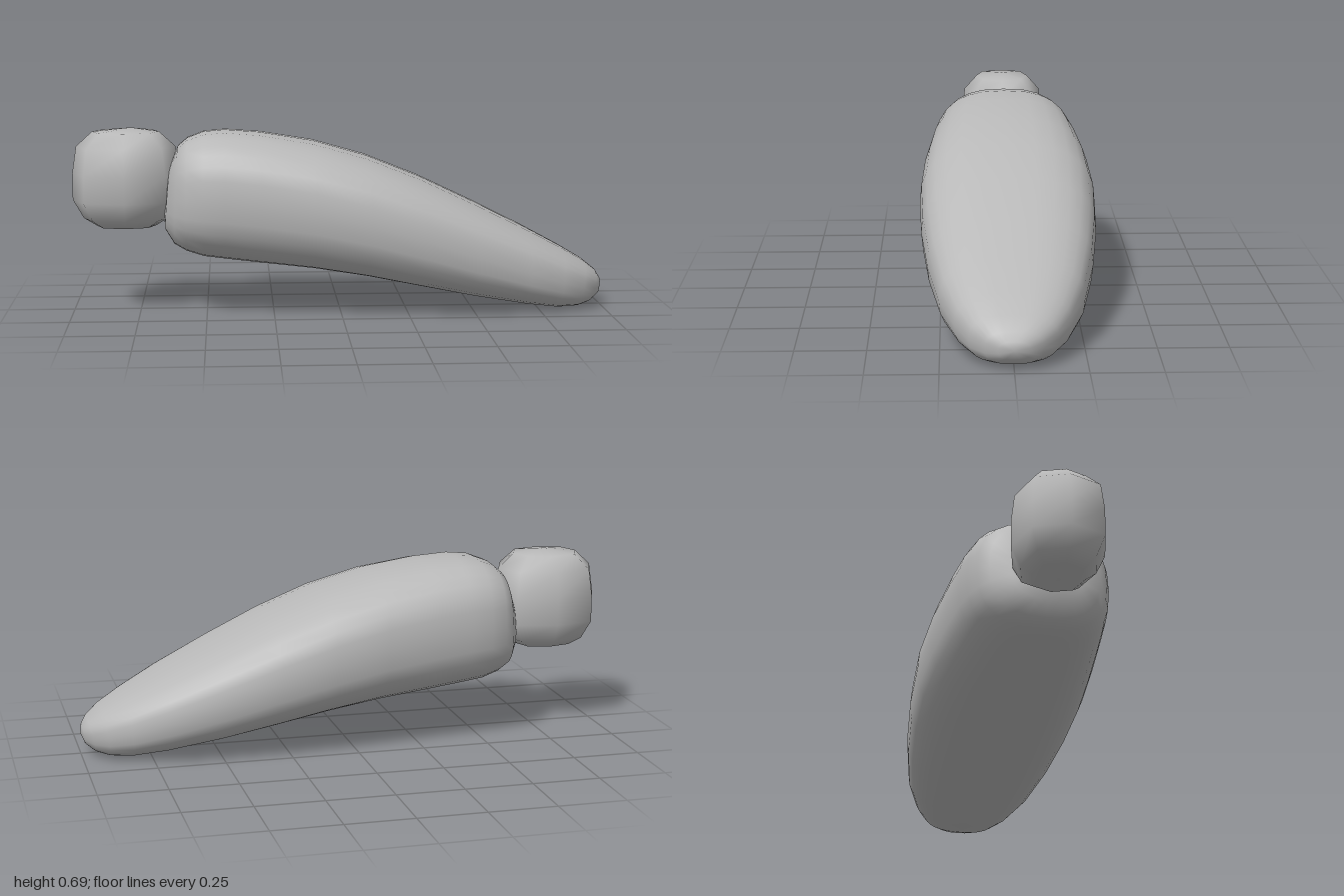
import * as THREE from 'three';

const TAU = Math.PI * 2;

// Smooth closed skin over rings of points, with a pole at each end
function loft(rings, startPole, endPole) {
  const n = rings[0].length;
  const points = [...rings.flat(), startPole, endPole];
  const start = points.length - 2, end = points.length - 1;
  const last = (rings.length - 1) * n;
  const index = [];
  for (let j = 0; j < n; j++) {
    const k = (j + 1) % n;
    index.push(start, j, k);
    for (let b = 0; b < last; b += n) {
      index.push(b + j, b + n + j, b + k, b + n + j, b + n + k, b + k);
    }
    index.push(last + j, end, last + k);
  }
  const geometry = new THREE.BufferGeometry();
  geometry.setAttribute('position', new THREE.Float32BufferAttribute(points.flat(), 3));
  geometry.setIndex(index);
  geometry.computeVertexNormals();
  return geometry;
}

// Rounded-square wave used for the cross-sections
const squared = (v, n) => Math.sign(v) * Math.pow(Math.abs(v), 2 / n);

// Tapering body: each station is [top x, top y, bottom x, bottom y, half width]
function bodyGeometry() {
  const stations = [
    [-0.635, 0.55, -0.655, 0.31, 0.13],
    [-0.605, 0.62, -0.62, 0.255, 0.2],
    [-0.57, 0.65, -0.575, 0.23, 0.235],
    [-0.51, 0.673, -0.51, 0.21, 0.26],
    [-0.43, 0.68, -0.43, 0.2, 0.275],
    [-0.3, 0.67, -0.3, 0.185, 0.292],
    [-0.1, 0.637, -0.1, 0.163, 0.314],
    [0.1, 0.58, 0.1, 0.132, 0.326],
    [0.3, 0.5, 0.3, 0.092, 0.318],
    [0.5, 0.405, 0.5, 0.052, 0.294],
    [0.7, 0.305, 0.7, 0.018, 0.252],
    [0.84, 0.23, 0.82, 0.002, 0.2],
    [0.925, 0.18, 0.9, 0.004, 0.152],
    [0.975, 0.14, 0.95, 0.018, 0.1],
    [0.994, 0.11, 0.985, 0.045, 0.055],
  ];
  const sides = 28;
  const rings = stations.map(([tx, ty, bx, by, w]) =>
    Array.from({ length: sides }, (_, j) => {
      const a = (j / sides) * TAU;
      const up = squared(Math.sin(a), 2.6);
      return [
        (tx + bx) / 2 + up * (tx - bx) / 2,
        (ty + by) / 2 + up * (ty - by) / 2,
        w * squared(Math.cos(a), 2.6),
      ];
    }));
  return loft(rings, [-0.662, 0.41, 0], [1, 0.08, 0]);
}

// Eight-sided knob: each ring is [height, radius]
function knobGeometry() {
  const profile = [[0.32, 0.11], [0.35, 0.16], [0.42, 0.2], [0.52, 0.2], [0.62, 0.185], [0.675, 0.125]];
  const rings = profile.map(([y, r]) =>
    Array.from({ length: 8 }, (_, j) => {
      const a = (j / 8) * TAU;
      return [-0.8 + r * Math.cos(a) * (j % 2 ? 1.06 : 1), y, r * 0.83 * Math.sin(a) * (j % 2 ? 1.08 : 1)];
    }));
  return loft(rings, [-0.8, 0.31, 0], [-0.78, 0.69, 0]);
}

export function createModel() {
  const grey = new THREE.MeshStandardMaterial({ color: 0xb8b8b8 });
  grey.name = 'plain grey';

  const model = new THREE.Group();
  model.name = 'taperedBodyWithKnob';

  const body = new THREE.Mesh(bodyGeometry(), grey);
  body.name = 'body';
  const knob = new THREE.Mesh(knobGeometry(), grey);
  knob.name = 'knob';
  model.add(body, knob);
  return model;
}
